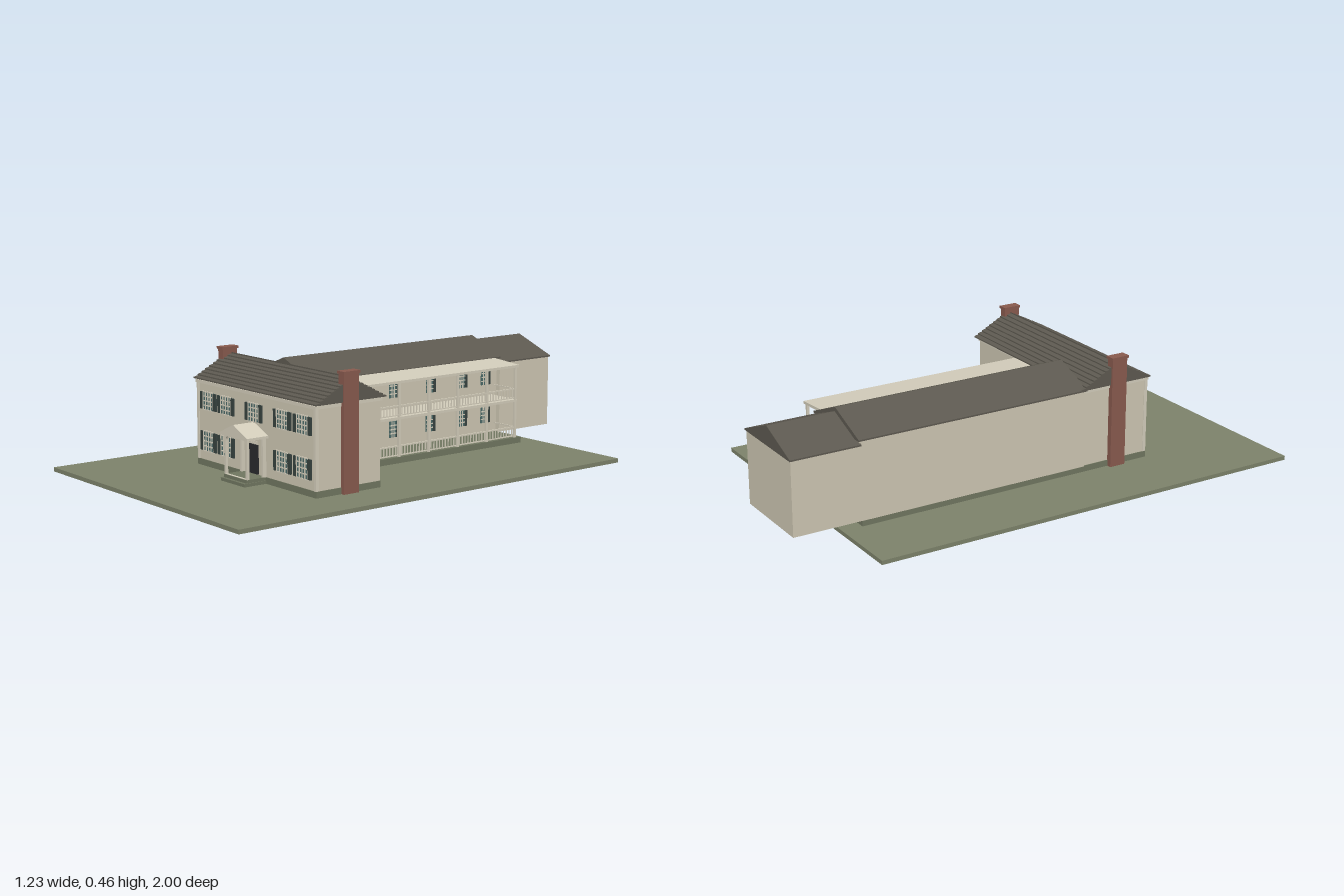
import * as THREE from 'three';

const mat = (name, color) => Object.assign(new THREE.MeshStandardMaterial({ color }), { name });

export function createModel() {
  const lawn = mat('lawn green', 0x7c826a);
  const stone = mat('foundation green', 0x707660);
  const wall = mat('cream wall', 0xcdc6b2);
  const trim = mat('cream trim', 0xd2ccba);
  const roofing = mat('grey roofing', 0x5d5950);
  const brick = mat('red brick', 0x885a4e);
  const glass = mat('teal glass', 0x4c6b69);
  const shutterPaint = mat('dark shutter', 0x36423f);
  const doorPaint = mat('black door', 0x28292c);

  const model = new THREE.Group();
  model.name = 'house';

  const group = (name, parent = model) => {
    const g = new THREE.Group();
    g.name = name;
    parent.add(g);
    return g;
  };
  const add = (name, geometry, material, parent = model) => {
    const m = new THREE.Mesh(geometry, material);
    m.name = name;
    parent.add(m);
    return m;
  };
  // Box given by its extents on each axis
  const box = (name, material, x0, x1, y0, y1, z0, z1, parent = model) => {
    const m = add(name, new THREE.BoxGeometry(x1 - x0, y1 - y0, z1 - z0), material, parent);
    m.position.set((x0 + x1) / 2, (y0 + y1) / 2, (z0 + z1) / 2);
    return m;
  };
  // Cross-section in x/y extruded along z
  const prismZ = (name, material, points, z0, z1, parent = model) => {
    const shape = new THREE.Shape(points.map(([x, y]) => new THREE.Vector2(x, y)));
    const g = new THREE.ExtrudeGeometry(shape, { depth: z1 - z0, bevelEnabled: false });
    g.translate(0, 0, z0);
    return add(name, g, material, parent);
  };
  // Cross-section in z/y extruded along x
  const prismX = (name, material, points, x0, x1, parent = model) => {
    const shape = new THREE.Shape(points.map(([z, y]) => new THREE.Vector2(-z, y)));
    const g = new THREE.ExtrudeGeometry(shape, { depth: x1 - x0, bevelEnabled: false });
    g.rotateY(Math.PI / 2).translate(x0, 0, 0);
    return add(name, g, material, parent);
  };

  box('lawn', lawn, -0.615, 0.615, 0, 0.016, -0.8, 1);

  // Main house
  const house = group('mainHouse');
  box('foundation', stone, -0.328, 0.423, 0.016, 0.04, 0.24, 0.533, house);
  box('walls', wall, -0.325, 0.42, 0.04, 0.35, 0.24, 0.53, house);
  for (const x of [-0.327, 0.41]) box('cornerBoard', trim, x, x + 0.012, 0.04, 0.345, 0.52, 0.534, house);
  box('eaveBoard', trim, -0.33, 0.425, 0.335, 0.347, 0.235, 0.537, house);

  // Shingled gable roof with overlapping courses
  const courses = 9, step = 0.005;
  const slope = (edge, i) => [
    THREE.MathUtils.lerp(edge, 0.38, i / courses),
    THREE.MathUtils.lerp(0.349, 0.432, i / courses),
  ];
  const side = (edge) => {
    const pts = [];
    for (let i = 0; i < courses; i++) {
      const [z, y] = slope(edge, i);
      pts.push([z, y], [z, y + step], slope(edge, i + 1));
    }
    return pts;
  };
  const profile = [...side(0.54), [0.38, 0.437], ...side(0.22).reverse()];
  prismX('shingleRoof', roofing, profile, -0.338, 0.432, house);

  // End chimneys
  for (const [x0, x1] of [[-0.346, -0.315], [0.407, 0.438]]) {
    const chimney = group('chimney', house);
    box('chimneyStack', brick, x0, x1, 0.016, 0.452, 0.353, 0.42, chimney);
    box('chimneyCap', brick, x0 - 0.004, x1 + 0.004, 0.45, 0.46, 0.349, 0.424, chimney);
  }

  // Shuttered window facing +z, centred on its group
  const shutteredWindow = (x, y, h) => {
    const w = group('frontWindow', house);
    const s = 0.033;
    box('pane', glass, -s, s, -h / 2, h / 2, 0, 0.004, w);
    for (let i = 0; i <= 4; i++) {
      const u = -s + (i * 2 * s) / 4;
      box('muntin', trim, u - 0.002, u + 0.002, -h / 2, h / 2, 0.003, 0.007, w);
    }
    for (let i = 0; i <= 4; i++) {
      const v = -h / 2 + (i * h) / 4;
      box('glazingBar', trim, -s, s, v - 0.002, v + 0.002, 0.003, 0.007, w);
    }
    for (const k of [-1, 1]) {
      const c = k * 0.0425;
      box('shutter', shutterPaint, c - 0.0095, c + 0.0095, -h / 2 + 0.002, h / 2 - 0.002, 0, 0.007, w);
    }
    w.position.set(x, y, 0.53);
    return w;
  };
  for (const x of [-0.25, -0.133, 0.223, 0.343]) {
    shutteredWindow(x, 0.27, 0.07);
    shutteredWindow(x, 0.114, 0.078);
  }
  shutteredWindow(0.046, 0.27, 0.07);

  // Front door with fanned top lights
  const entry = group('entrance');
  box('door', doorPaint, 0.019, 0.071, 0.042, 0.152, 0.53, 0.536, entry);
  for (let i = 0; i < 4; i++) {
    const x = 0.027 + i * 0.012;
    box('topLightBar', trim, x - 0.002, x + 0.002, 0.153, 0.166, 0.53, 0.535, entry);
  }
  box('lowerStep', stone, -0.031, 0.121, 0.016, 0.028, 0.53, 0.63, entry);
  box('upperStep', stone, -0.027, 0.117, 0.028, 0.04, 0.53, 0.618, entry);

  // Portico: arched front, wall pilasters and pediment
  const arch = new THREE.Shape();
  arch.moveTo(-0.028, 0.04).lineTo(0.118, 0.04).lineTo(0.118, 0.192).lineTo(-0.028, 0.192);
  const opening = new THREE.Path();
  opening.moveTo(-0.018, 0.041).lineTo(-0.018, 0.165).quadraticCurveTo(-0.018, 0.185, 0.002, 0.185);
  opening.lineTo(0.088, 0.185).quadraticCurveTo(0.108, 0.185, 0.108, 0.165).lineTo(0.108, 0.041);
  arch.holes.push(opening);
  const archGeo = new THREE.ExtrudeGeometry(arch, { depth: 0.01, bevelEnabled: false, curveSegments: 6 });
  add('porticoArch', archGeo, trim, entry).position.z = 0.605;
  for (const x of [-0.028, 0.108]) box('pilaster', trim, x, x + 0.01, 0.04, 0.19, 0.53, 0.545, entry);
  prismZ('pediment', trim, [[-0.041, 0.187], [0.132, 0.187], [0.132, 0.196], [0.0455, 0.235], [-0.041, 0.196]], 0.53, 0.625, entry);

  // Rear wing
  const wing = group('rearWing');
  box('wingFoundation', stone, -0.328, 0.15, 0.016, 0.04, -0.72, 0.24, wing);
  box('wingWalls', wall, -0.33, 0, 0.038, 0.348, -0.725, 0.24, wing);
  prismZ('wingRoof', roofing, [[-0.338, 0.345], [0.01, 0.345], [0.01, 0.351], [-0.164, 0.421], [-0.338, 0.351]], -0.732, 0.243, wing);

  // End block, raised clear of the ground
  const block = group('endBlock');
  box('blockWalls', wall, -0.333, 0.02, 0.04, 0.33, -0.996, -0.72, block);
  prismZ('blockRoof', roofing, [[-0.338, 0.327], [0.026, 0.327], [0.026, 0.333], [-0.16, 0.404], [-0.338, 0.333]], -1, -0.722, block);

  // Two-storey side gallery
  const gallery = group('gallery');
  prismZ('galleryRoof', trim, [[-0.01, 0.338], [0.154, 0.328], [0.154, 0.338], [-0.01, 0.35]], -0.7, 0.24, gallery);
  box('upperFloor', trim, 0, 0.15, 0.187, 0.197, -0.695, 0.24, gallery);
  const posts = [0.234, 0.07, -0.08, -0.23, -0.38, -0.535, -0.69];
  for (const z of posts) box('post', trim, 0.138, 0.148, 0.04, 0.332, z - 0.005, z + 0.005, gallery);
  for (const y of [0.04, 0.197]) {
    const railing = group('railing', gallery);
    box('topRail', trim, 0.14, 0.146, y + 0.04, y + 0.045, -0.69, 0.234, railing);
    box('bottomRail', trim, 0.14, 0.146, y + 0.004, y + 0.008, -0.69, 0.234, railing);
    for (let i = 1; i < 62; i++) {
      const z = -0.69 + (i * 0.924) / 62;
      box('baluster', trim, 0.1415, 0.1445, y + 0.004, y + 0.042, z - 0.0018, z + 0.0018, railing);
    }
    box('endRail', trim, 0.02, 0.14, y + 0.04, y + 0.045, -0.692, -0.688, railing);
  }

  // Windows along the gallery wall
  for (const z of [0.13, -0.03, -0.17, -0.36, -0.53, -0.655]) {
    for (const y of [0.115, 0.273]) {
      const w = group('galleryWindow', gallery);
      box('pane', glass, 0, 0.004, -0.032, 0.032, -0.022, 0.022, w);
      box('shutter', shutterPaint, 0, 0.006, -0.032, 0.032, -0.026, -0.012, w);
      for (const v of [-0.016, 0, 0.016]) box('glazingBar', trim, 0.003, 0.007, v - 0.002, v + 0.002, -0.012, 0.022, w);
      for (const u of [0, 0.011]) box('muntin', trim, 0.003, 0.007, -0.032, 0.032, u - 0.0015, u + 0.0015, w);
      w.position.set(0, y, z);
    }
  }

  return model;
}
